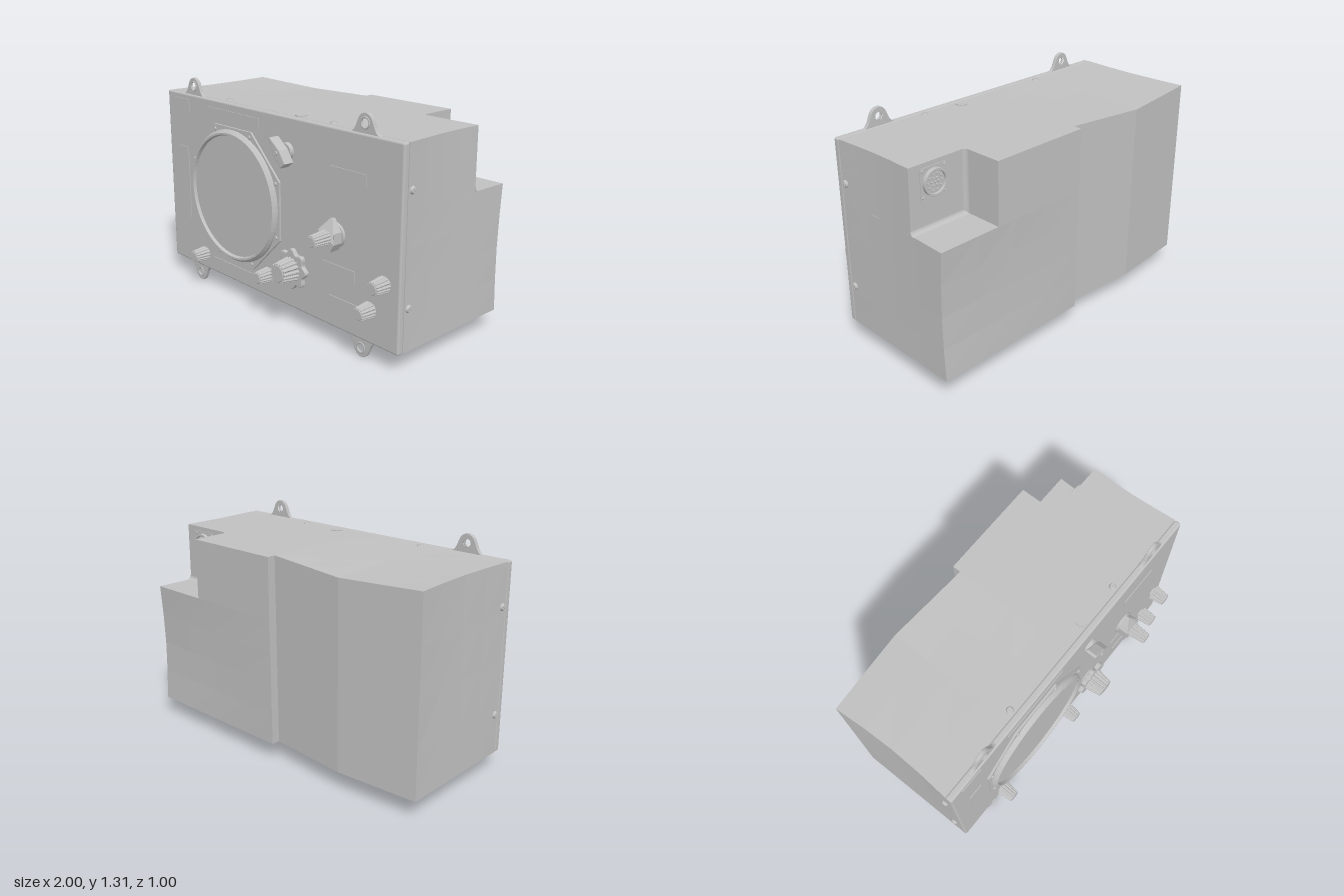
import * as THREE from 'three';
import { RoundedBoxGeometry } from 'three/addons/geometries/RoundedBoxGeometry.js';

const { PI, sin, cos, max, abs } = Math;
const grey = new THREE.MeshStandardMaterial({ color: 0xc0c0c0 });
grey.name = 'grey paint';

export function createModel() {
  const root = new THREE.Group();
  root.name = 'instrumentUnit';

  const add = (name, geo, x = 0, y = 0, z = 0, parent = root) => {
    const m = new THREE.Mesh(geo, grey);
    m.name = name;
    m.position.set(x, y, z);
    parent.add(m);
    return m;
  };
  const group = (name, x, y, z) => {
    const g = new THREE.Group();
    g.name = name;
    g.position.set(x, y, z);
    root.add(g);
    return g;
  };
  const faceted = (geo) => {
    const g = geo.index ? geo.toNonIndexed() : geo;
    g.computeVertexNormals();
    return g;
  };
  // Cylinder along +z, standing on z = 0
  const drum = (r0, r1, h, n = 32) =>
    new THREE.CylinderGeometry(r1, r0, h, n).rotateX(PI / 2).translate(0, 0, h / 2);
  const slab = (shape, depth, bevel = 0, curveSegments = 12) =>
    new THREE.ExtrudeGeometry(shape, {
      depth: depth - 2 * bevel, bevelEnabled: bevel > 0, bevelSize: bevel,
      bevelThickness: bevel, bevelOffset: -bevel, bevelSegments: 2, curveSegments
    }).translate(0, 0, bevel);
  const polygon = (pts) => new THREE.Shape(pts.map(([x, y]) => new THREE.Vector2(x, y)));
  const radial = (n, fn) => polygon(Array.from({ length: n }, (_, i) => {
    const a = i / n * 2 * PI, r = fn(i, a);
    return [r * cos(a), r * sin(a)];
  }));

  // Sheet-metal housing: blocks whose outer faces sag a little
  const housing = (name, x0, x1, y0, y1, z0, z1) => {
    const g = new THREE.BoxGeometry(x1 - x0, y1 - y0, z1 - z0, 4, 4, 4)
      .translate((x0 + x1) / 2, (y0 + y1) / 2, (z0 + z1) / 2);
    const p = g.attributes.position;
    for (let i = 0; i < p.count; i++) {
      let x = p.getX(i), y = p.getY(i), z = p.getZ(i);
      const back = max(0, (0.28 - z) / 0.76), t = (y - 0.11) / 1.1;
      const bow = max(0, 1 - abs(x + 0.5) / 0.5);
      const onBack = z < z0 + 0.001, onTop = y > 1.209;
      if (abs(x) > 0.984) x -= Math.sign(x) * 0.018 * t * max(0, sin(PI * (z + 0.45) / 0.73));
      if (x < 0 && onBack) z -= 0.04 * bow;
      if (x < 0 && onTop) y -= 0.022 * bow * back;
      if (x > 0 && z < -0.499 && y < 0.855) z += 0.016 * x * sin(PI * (y - 0.11) / 0.745);
      p.setXYZ(i, x, y, z);
    }
    add(name, faceted(g));
  };
  housing('leftHousing', -0.985, 0, 0.11, 1.21, -0.45, 0.28);
  housing('lowerHousing', 0, 0.985, 0.11, 0.855, -0.5, 0.28);
  housing('upperHousing', 0, 0.61, 0.855, 1.21, -0.5, 0.28);
  housing('socketHousing', 0.61, 0.985, 0.855, 1.21, -0.265, 0.28);

  // Curved corners inside the notch
  const cove = new THREE.Shape();
  cove.moveTo(0, 0).lineTo(0.025, 0);
  cove.absarc(0.025, 0.025, 0.025, -PI / 2, -PI, true);
  cove.lineTo(0, 0);
  add('notchFloorCove', slab(cove, 0.37).rotateY(PI / 2), 0.61, 0.855, -0.265);
  add('notchSideCove', slab(cove, 0.355).rotateX(PI / 2), 0.61, 1.21, -0.265)
    .geometry.scale(1, 1, 1).rotateX(PI).translate(0, -0.355, 0);

  // Front panel
  add('frontPanel', new RoundedBoxGeometry(1.974, 1.104, 0.042, 3, 0.012), 0, 0.66, 0.299);

  // Mounting lugs, mirrored top and bottom
  const lug = new THREE.Shape();
  lug.moveTo(-0.115, -0.02).lineTo(-0.115, 0);
  lug.bezierCurveTo(-0.07, 0.005, -0.065, 0.04, -0.05, 0.072);
  lug.bezierCurveTo(-0.03, 0.12, 0.03, 0.12, 0.05, 0.072);
  lug.bezierCurveTo(0.065, 0.04, 0.07, 0.005, 0.115, 0);
  lug.lineTo(0.115, -0.02);
  lug.holes.push(new THREE.Path().absarc(0, 0.056, 0.026, 0, 2 * PI, true));
  const lugGeo = slab(lug, 0.022, 0.003);
  for (const x of [-0.72, 0.72]) {
    add('topLug', lugGeo, x, 1.208, 0.288);
    add('bottomLug', lugGeo, x, 0.11, 0.31).rotation.x = PI;
    for (const y of [1.265, 0.055])
      add('lugEyelet', new THREE.TorusGeometry(0.028, 0.006, 8, 24), x, y, 0.308);
  }

  // Cross-head housing screws
  const screw = (x, y, z, rx, ry) => {
    const g = group('screw', x, y, z);
    g.rotation.set(rx, ry, 0);
    add('screwHead', drum(0.022, 0.015, 0.012, 20), 0, 0, 0, g);
    for (const a of [PI / 4, -PI / 4])
      add('screwCross', new THREE.BoxGeometry(0.022, 0.004, 0.003), 0, 0, 0.0125, g).rotation.z = a;
  };
  for (const x of [-0.44, 0.44]) {
    screw(x, 1.208, 0.25, -PI / 2, 0);
    screw(x, 0.112, 0.25, PI / 2, 0);
  }
  for (const y of [0.35, 0.97]) {
    screw(0.985, y, 0.25, 0, PI / 2);
    screw(-0.985, y, 0.25, 0, -PI / 2);
  }
  add('topPlug', drum(0.034, 0.034, 0.006).rotateX(-PI / 2), 0.18, 1.209, 0.24);

  // Round display with octagonal bezel
  const dial = group('display', -0.32, 0.66, 0.318);
  const octagon = radial(8, () => 0.415 / cos(PI / 8));
  add('bezelPlate', slab(octagon, 0.014).rotateZ(PI / 8), 0, 0, 0, dial);
  const ring = [[0.403, 0.01], [0.4, 0.024], [0.385, 0.042], [0.374, 0.042], [0.366, 0.022], [0.366, 0.01]];
  add('bezelRing', faceted(new THREE.LatheGeometry(ring.map(([r, h]) => new THREE.Vector2(r, h)), 80)
    .rotateX(PI / 2).scale(1, 1, 1)), 0, 0, 0, dial);
  add('glass', drum(0.367, 0.367, 0.024, 64), 0, 0, 0, dial);
  for (let i = 0; i < 8; i++) {
    const a = PI / 8 + i * PI / 4;
    add('bezelScrew', drum(0.012, 0.009, 0.008, 14), 0.417 * cos(a), 0.417 * sin(a), 0.013, dial);
  }

  // Fluted tapering knob
  const fluted = (r0, r1, h, ribs) => {
    const g = slab(radial(ribs * 4, (i) => (i % 4 < 2 ? 1 : 0.88)), h);
    const p = g.attributes.position;
    for (let i = 0; i < p.count; i++) {
      const r = r0 + (r1 - r0) * p.getZ(i) / h;
      p.setXY(i, p.getX(i) * r, p.getY(i) * r);
    }
    return faceted(g);
  };
  for (const [x, y] of [[-0.635, 0.21], [-0.01, 0.255], [0.795, 0.305], [0.89, 0.475]]) {
    const k = group('smallKnob', x, y, 0.32);
    add('knobCollar', drum(0.036, 0.036, 0.012), 0, 0, 0, k);
    add('knobGrip', fluted(0.047, 0.037, 0.088, 14), 0, 0, 0.01, k);
    add('knobCap', drum(0.031, 0.028, 0.003), 0, 0, 0.098, k);
  }

  // Large tuning knob with scalloped skirt
  const tuning = group('tuningKnob', 0.22, 0.365, 0.32);
  add('knobCollar', drum(0.075, 0.075, 0.014), 0, 0, 0, tuning);
  add('knobSkirt', slab(radial(96, (i, a) => 0.108 + 0.012 * cos(8 * a)), 0.028, 0.004), 0, 0, 0.012, tuning);
  add('knobGrip', fluted(0.073, 0.058, 0.1, 16), 0, 0, 0.038, tuning);
  add('knobCap', drum(0.05, 0.047, 0.004), 0, 0, 0.137, tuning);

  // Stacked selector: pointer skirt below a fluted knob
  const selector = group('selectorKnob', 0.535, 0.645, 0.318);
  add('selectorDisc', drum(0.07, 0.07, 0.018), 0, 0, 0, selector);
  const tear = polygon([[-0.035, -0.074], [0.035, -0.074], [0.06, -0.03], [0.058, 0.03], [0.008, 0.094], [-0.008, 0.094], [-0.058, 0.03], [-0.06, -0.03]]);
  const tearGeo = slab(tear, 0.062);
  const tp = tearGeo.attributes.position;
  for (let i = 0; i < tp.count; i++) // pointer tip slopes down to the panel
    if (tp.getZ(i) > 0.05 && tp.getY(i) > 0.05) tp.setZ(i, 0.018);
  add('selectorPointer', faceted(tearGeo), 0, 0, 0.016, selector);
  add('selectorGrip', fluted(0.043, 0.034, 0.104, 14), 0, 0, 0.077, selector);
  add('selectorCap', drum(0.028, 0.026, 0.003), 0, 0, 0.18, selector);

  // Angled pointer switch
  const lever = group('pointerSwitch', 0.16, 1.025, 0.318);
  lever.rotation.z = 0.68;
  add('switchBase', drum(0.048, 0.044, 0.024), 0, 0, 0, lever);
  const handle = polygon([[-0.024, -0.082], [0.024, -0.082], [0.03, 0], [0.008, 0.094], [-0.008, 0.094], [-0.03, 0]]);
  add('switchHandle', slab(handle, 0.065, 0.006), 0, 0, 0.022, lever);
  add('switchScrew', drum(0.012, 0.01, 0.007, 16), 0, 0, 0.086, lever);

  // Thin label plates on the panel
  for (const [x0, x1, y0, y1] of [
    [-0.88, -0.785, 0.41, 0.875], [-0.55, -0.09, 1.1, 1.165], [-0.55, -0.09, 0.16, 0.21],
    [-0.91, -0.76, 1.1, 1.18], [0.49, 0.75, 0.94, 1.01], [0.44, 0.68, 0.4, 0.475], [0.49, 0.72, 0.21, 0.29]
  ]) add('labelPlate', new THREE.BoxGeometry(x1 - x0, y1 - y0, 0.006), (x0 + x1) / 2, (y0 + y1) / 2, 0.321);

  // Rear socket in the notch
  const socket = group('rearSocket', 0.82, 1.1, -0.264);
  socket.rotation.y = PI;
  add('socketFlange', new THREE.BoxGeometry(0.17, 0.17, 0.006), 0, 0, 0.002, socket);
  const shell = new THREE.Shape().absarc(0, 0, 0.073, 0, 2 * PI);
  shell.holes.push(new THREE.Path().absarc(0, 0, 0.06, 0, 2 * PI, true));
  add('socketShell', slab(shell, 0.026, 0.002, 24), 0, 0, 0, socket);
  add('socketCore', drum(0.061, 0.061, 0.012), 0, 0, 0, socket);
  for (const [n, r] of [[1, 0], [6, 0.022], [10, 0.045]])
    for (let i = 0; i < n; i++) {
      const a = i / n * 2 * PI;
      add('socketPin', drum(0.006, 0.005, 0.022, 10), r * cos(a), r * sin(a), 0, socket);
    }
  for (const x of [-0.07, 0.07]) for (const y of [-0.07, 0.07])
    add('flangeScrew', drum(0.009, 0.007, 0.006, 12), x, y, 0.004, socket);

  return root;
}
